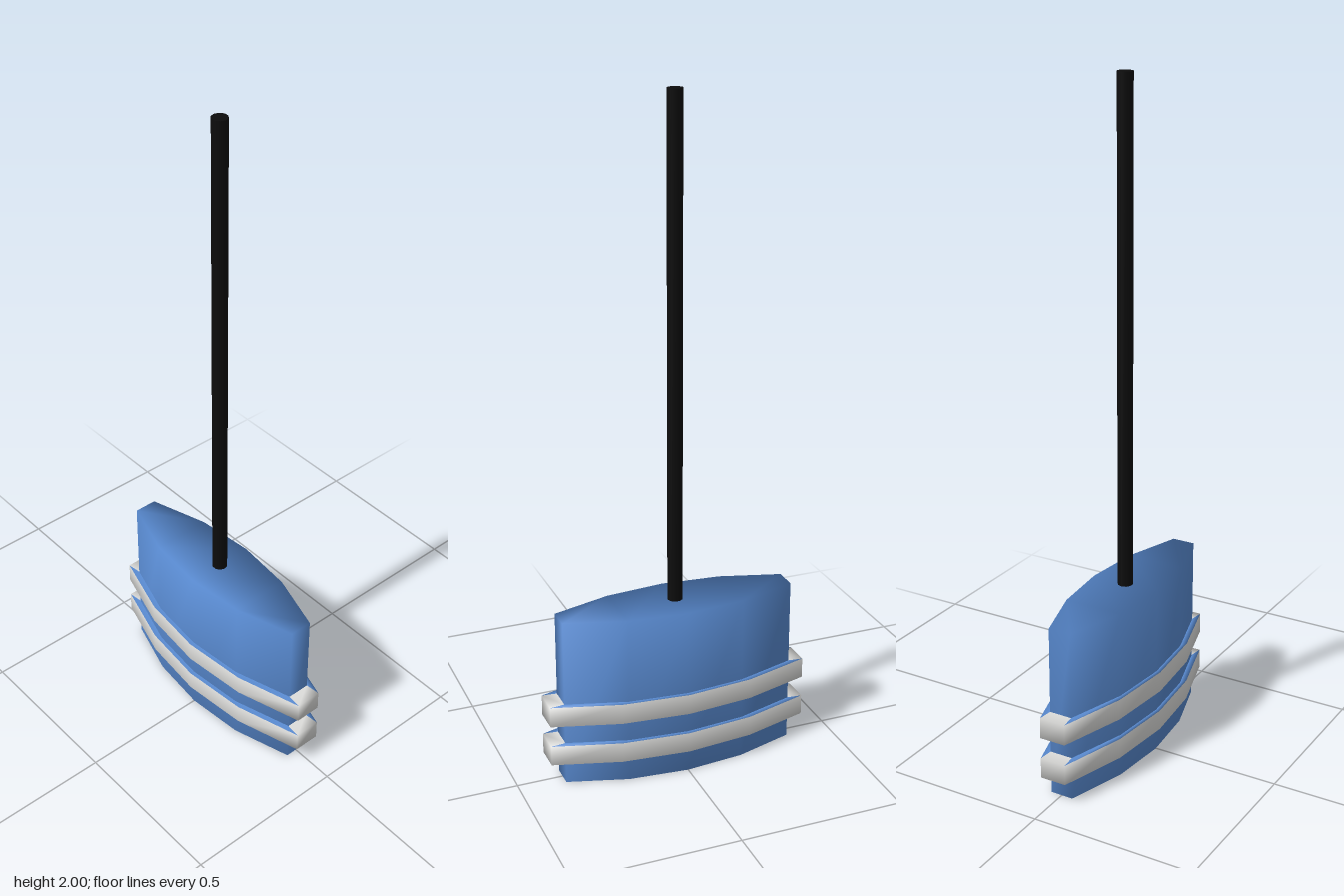
import * as THREE from 'three';

// Half outlines (x, z) of the right side, from front to back
const BODY = [[0.035, 0.36], [0.09, 0.18], [0.107, 0], [0.09, -0.18], [0.035, -0.36]];
const BAND = [[0.04, 0.405], [0.1, 0.203], [0.12, 0], [0.1, -0.203], [0.04, -0.405]];

// Mirror a half outline into a closed loop at a given height
function ring(half, y) {
  const left = half.map(([x, z]) => [-x, z]).reverse();
  return [...half, ...left].map(([x, z]) => [x, y, z]);
}

function smoothGeometry(rings, index) {
  const geo = new THREE.BufferGeometry();
  geo.setAttribute('position', new THREE.Float32BufferAttribute(rings.flat(2), 3));
  geo.setIndex(index);
  geo.computeVertexNormals();
  return geo;
}

const quad = (a, b, c, d) => [a, b, c, a, c, d];

// Softly shaded closed prism
function bodyGeometry(y0, y1) {
  const n = BODY.length * 2, index = [];
  for (let i = 0; i < n; i++) {
    const j = (i + 1) % n;
    index.push(...quad(i, j, n + j, n + i));
  }
  for (let k = 0; k < BODY.length - 1; k++) {
    const l = n - 1 - k;
    index.push(...quad(n + k, n + k + 1, n + l - 1, n + l)); // top
    index.push(...quad(l, l - 1, k + 1, k)); // bottom
  }
  return smoothGeometry([ring(BODY, y0), ring(BODY, y1)], index);
}

// Band: white outer wall and ends, blue ledges along the long sides
function bandGeometry(y0, y1) {
  const rings = [ring(BODY, y0), ring(BAND, y0), ring(BAND, y1), ring(BODY, y1)];
  const n = BAND.length * 2, white = [], blue = [];
  for (let r = 0; r < 3; r++) {
    for (let i = 0; i < n; i++) {
      const j = (i + 1) % n;
      const isEnd = i === n / 2 - 1 || i === n - 1;
      const list = r === 1 || isEnd ? white : blue;
      list.push(...quad(r * n + i, r * n + j, (r + 1) * n + j, (r + 1) * n + i));
    }
  }
  const geo = smoothGeometry(rings, [...white, ...blue]);
  geo.addGroup(0, white.length, 0);
  geo.addGroup(white.length, blue.length, 1);
  return geo;
}

export function createModel() {
  const material = (name, color) => new THREE.MeshStandardMaterial({ name, color });
  const blue = material('blue', 0x5b8ed6);
  const white = material('white', 0xdededc);
  const black = material('black', 0x0c0c0c);

  const model = new THREE.Group();
  const add = (name, geo, mat) => {
    const mesh = new THREE.Mesh(geo, mat);
    mesh.name = name;
    model.add(mesh);
    return mesh;
  };

  add('body', bodyGeometry(0, 0.52), blue);
  add('lowerBand', bandGeometry(0.07, 0.132), [white, blue]);
  add('upperBand', bandGeometry(0.197, 0.26), [white, blue]);

  // Tall pole standing on the body
  const pole = add('pole', new THREE.CylinderGeometry(0.023, 0.023, 1.49, 10), black);
  pole.position.y = 1.255;

  return model;
}
